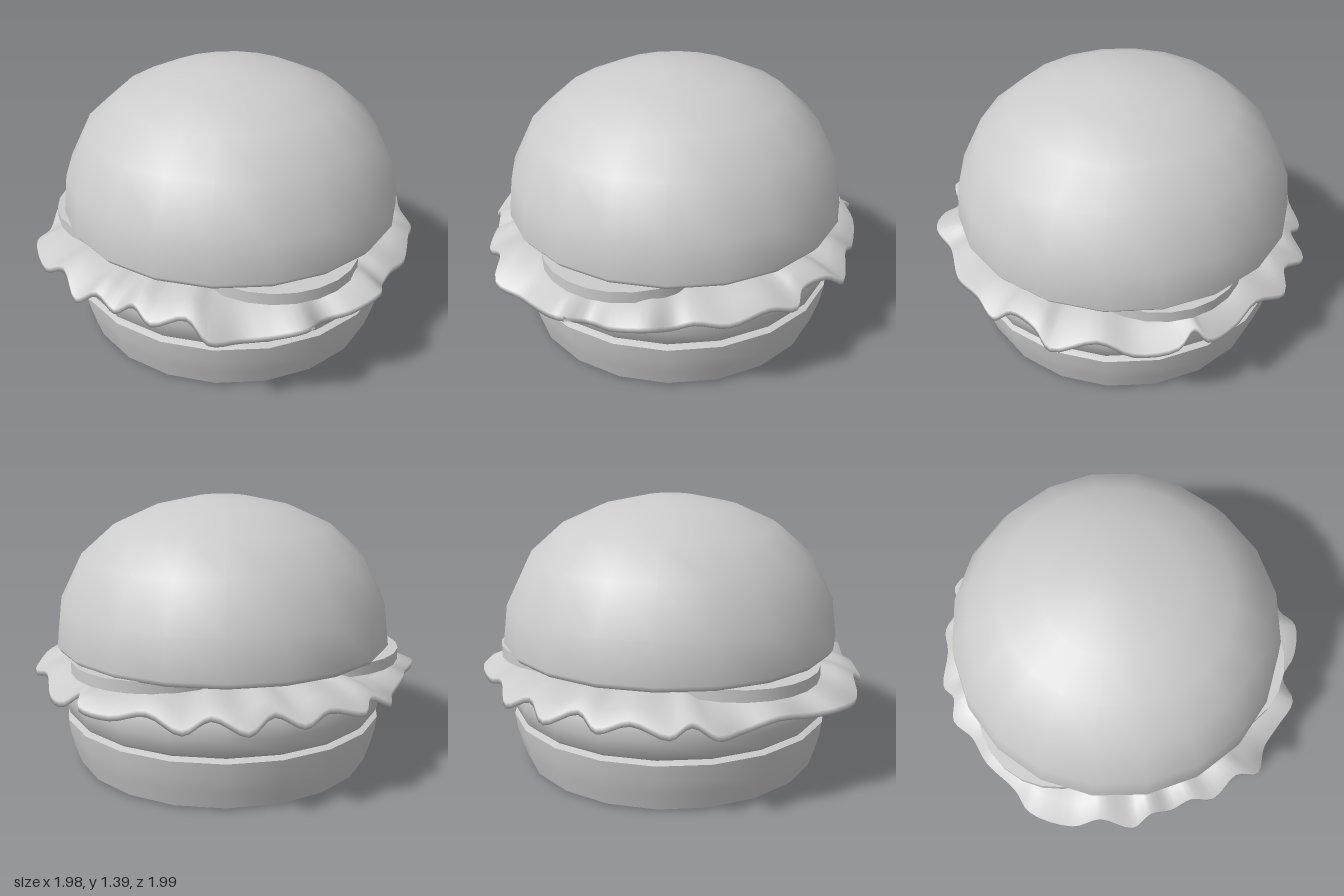
import * as THREE from 'three';
import { toCreasedNormals } from 'three/addons/utils/BufferGeometryUtils.js';

const SIDES = 20;
const material = new THREE.MeshStandardMaterial({ color: 0xcccccc });
const leafMaterial = new THREE.MeshStandardMaterial({ color: 0xcccccc, side: THREE.DoubleSide });

// Round layer turned from a [radius, y] profile, running from bottom to top
function layer(name, profile, crease) {
  const points = profile.map(([r, y]) => new THREE.Vector2(r, y));
  const geometry = new THREE.LatheGeometry(points, SIDES, Math.PI / SIDES);
  const mesh = new THREE.Mesh(crease ? toCreasedNormals(geometry, crease) : geometry, material);
  mesh.name = name;
  return mesh;
}

// Ruffled rim of the leaf as [x, z, y], going round from the left side to the front
const rimPoints = [
  [0.95, 0.02, 0.5], [0.95, 0.12, 0.48], [0.99, 0.24, 0.51], [0.92, 0.4, 0.48], [0.82, 0.49, 0.45],
  [0.81, 0.64, 0.48], [0.68, 0.74, 0.45], [0.57, 0.82, 0.44], [0.48, 0.94, 0.47], [0.35, 0.92, 0.54],
  [0.2, 0.99, 0.49], [0.08, 0.96, 0.53], [-0.03, 0.97, 0.46], [-0.14, 0.96, 0.51], [-0.25, 0.99, 0.45],
  [-0.4, 0.9, 0.52], [-0.55, 0.88, 0.46], [-0.74, 0.74, 0.48], [-0.78, 0.6, 0.47], [-0.88, 0.42, 0.5],
  [-0.92, 0.25, 0.46], [-0.99, 0.13, 0.46], [-0.95, 0.02, 0.51], [-0.99, -0.08, 0.47], [-0.91, -0.25, 0.51],
  [-0.89, -0.4, 0.47], [-0.78, -0.48, 0.52], [-0.77, -0.64, 0.47], [-0.61, -0.71, 0.52], [-0.55, -0.83, 0.47],
  [-0.36, -0.87, 0.52], [-0.2, -0.95, 0.48], [-0.04, -1.0, 0.5], [0.01, -0.95, 0.54], [0.1, -0.98, 0.48],
  [0.3, -0.92, 0.45], [0.45, -0.83, 0.51], [0.66, -0.76, 0.47], [0.7, -0.66, 0.53], [0.78, -0.52, 0.53],
  [0.86, -0.48, 0.48], [0.9, -0.34, 0.51], [0.96, -0.14, 0.48],
];

// Thin leaf swept round the rim: a cross-section that crests and then droops to the ruffled edge
function lettuce() {
  const rim = new THREE.CatmullRomCurve3(rimPoints.map(([x, z, y]) => new THREE.Vector3(x, y, z)), true);
  const steps = 172, positions = [], index = [];
  const section = [[0, 0], [0.45, 0], [0.75, 0], [1, 0], [1, 1], [0.75, 1], [0.45, 1], [0, 1]];
  const n = section.length;
  for (let i = 0; i < steps; i++) {
    const p = rim.getPoint(i / steps);
    const angle = Math.atan2(p.z, p.x), radius = Math.hypot(p.x, p.z);
    const wave = p.y - 0.485;
    for (const [t, under] of section) {
      const r = THREE.MathUtils.lerp(0.6, radius, t);
      const drop = Math.max(0, t - 0.45) / 0.55;
      const y = 0.575 - 0.075 * drop ** 1.5 + wave * t - under * 0.03;
      positions.push(r * Math.cos(angle), y, r * Math.sin(angle));
    }
    const next = (i + 1) % steps;
    for (let j = 0; j < n; j++) {
      const k = (j + 1) % n;
      const a = i * n + j, b = i * n + k, c = next * n + j, d = next * n + k;
      index.push(a, c, b, b, c, d);
    }
  }
  const geometry = new THREE.BufferGeometry();
  geometry.setAttribute('position', new THREE.Float32BufferAttribute(positions, 3));
  geometry.setIndex(index);
  geometry.computeVertexNormals();
  const mesh = new THREE.Mesh(geometry, leafMaterial);
  mesh.name = 'lettuce';
  return mesh;
}

export function createModel() {
  const model = new THREE.Group();
  model.name = 'burger';

  model.add(layer('bottomBun', [
    [0, 0.005], [0.79, 0.015], [0.82, 0.11], [0.84, 0.19], [0.85, 0.265], [0.81, 0.28], [0, 0.28],
  ], 0.9));

  model.add(layer('patty', [
    [0, 0.28], [0.82, 0.28], [0.84, 0.3], [0.86, 0.38], [0.865, 0.46], [0.83, 0.52], [0.7, 0.545], [0, 0.545],
  ], 0.9));

  model.add(lettuce());

  // Three tomato slices: two towards the front, one poking out at the back
  const slices = new THREE.Group();
  slices.name = 'tomatoSlices';
  for (const [x, z, y] of [[0.42, 0.28, 0.59], [-0.42, 0.28, 0.597], [0, -0.475, 0.605]]) {
    const slice = new THREE.Mesh(new THREE.CylinderGeometry(0.43, 0.43, 0.06, 24), material);
    slice.name = 'tomatoSlice';
    slice.position.set(x, y, z);
    slices.add(slice);
  }
  model.add(slices);

  // Domed bun with a small flat crown and a tucked-in rim
  model.add(layer('topBun', [
    [0, 0.625], [0.8, 0.618], [0.865, 0.63], [0.887, 0.66], [0.862, 0.86], [0.745, 1.095],
    [0.57, 1.25], [0.36, 1.345], [0.13, 1.395], [0, 1.397],
  ]));

  return model;
}
